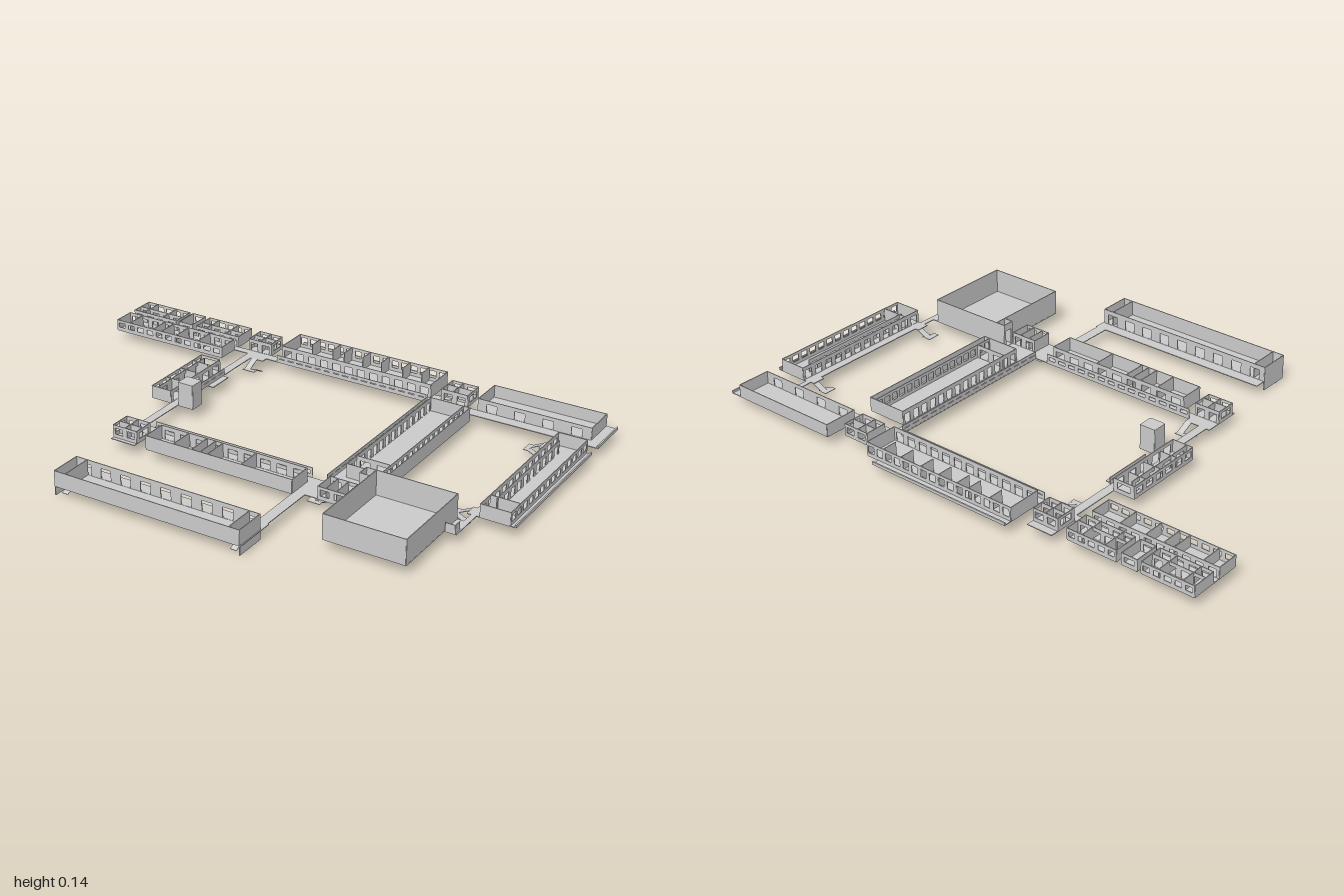
import * as THREE from 'three';

const T = 0.003;      // wall thickness
const Y = 0.048;      // floor level
const grey = new THREE.MeshStandardMaterial({ color: 0xcccccc, flatShading: true, side: THREE.DoubleSide });

export function createModel() {
  const root = new THREE.Group();
  let part = root;

  const section = (name) => {
    part = new THREE.Group();
    part.name = name;
    root.add(part);
  };
  const box = (name, x0, x1, y0, y1, z0, z1) => {
    const m = new THREE.Mesh(new THREE.BoxGeometry(x1 - x0, y1 - y0, z1 - z0), grey);
    m.position.set((x0 + x1) / 2, (y0 + y1) / 2, (z0 + z1) / 2);
    m.name = name;
    part.add(m);
  };
  const floor = (x0, x1, z0, z1) => box('floor', x0, x1, Y - T, Y, z0, z1);

  // Straight wall between two plan points, with evenly spaced window or door openings
  const wall = (x0, z0, x1, z1, top = 0.1, openings = 0, door = false, bottom = Y) => {
    const len = Math.hypot(x1 - x0, z1 - z0);
    const s = new THREE.Shape([[0, bottom], [len, bottom], [len, top], [0, top]].map(p => new THREE.Vector2(...p)));
    const pitch = len / (openings || 1);
    const w = door ? Math.min(0.02, pitch * 0.3) : pitch * 0.32;
    const lo = bottom + (door ? 0.001 : 0.013), hi = door ? bottom + (top - bottom) * 0.7 : top - 0.011;
    for (let i = 0; i < openings; i++) {
      const c = (i + 0.5) * pitch;
      s.holes.push(new THREE.Path([[c - w, lo], [c - w, hi], [c + w, hi], [c + w, lo]].map(p => new THREE.Vector2(...p))));
    }
    const g = new THREE.ExtrudeGeometry(s, { depth: T, bevelEnabled: false });
    g.translate(0, 0, -T / 2);
    const m = new THREE.Mesh(g, grey);
    m.position.set(x0, 0, z0);
    m.rotation.y = -Math.atan2(z1 - z0, x1 - x0);
    m.name = openings ? (door ? 'doorWall' : 'windowWall') : 'wall';
    part.add(m);
  };
  // Four walls; openings listed as back, front, right (-x), left (+x)
  const room = (x0, x1, z0, z1, top = 0.1, n = [0, 0, 0, 0], doors = [0, 0, 0, 0]) => {
    wall(x0, z0, x1, z0, top, n[0], !!doors[0]);
    wall(x0, z1, x1, z1, top, n[1], !!doors[1]);
    wall(x0, z0, x0, z1, top, n[2], !!doors[2]);
    wall(x1, z0, x1, z1, top, n[3], !!doors[3]);
  };
  const crossWalls = (xs, z0, z1, top) => xs.forEach(x => wall(x, z0, x, z1, top));

  // Switchback stair: two sloping flights and a half landing below the floor
  const stair = (x, z, turn = 0) => {
    const g = new THREE.Group();
    g.name = 'stair';
    [[0.013, 0.025, 0.047], [-0.013, 0.025, 0.005]].forEach(([fx, ya, yb]) => {
      const rise = yb - ya, run = 0.045;
      const m = new THREE.Mesh(new THREE.BoxGeometry(0.024, 0.002, Math.hypot(rise, run)), grey);
      m.position.set(fx, (ya + yb) / 2, 0.008);
      m.rotation.x = -Math.atan2(rise, run);
      m.name = 'flight';
      g.add(m);
    });
    const l = new THREE.Mesh(new THREE.BoxGeometry(0.05, 0.002, 0.018), grey);
    l.position.set(0, 0.025, -0.023);
    l.name = 'landing';
    g.add(l);
    g.position.set(x, 0, z);
    g.rotation.y = turn;
    part.add(g);
  };

  section('northWestWing');
  floor(-1, -0.36, -0.55, -0.52);
  floor(-1, -0.51, -0.52, -0.435);
  room(-1, -0.51, -0.52, -0.435, 0.09, [10, 11, 0, 0], [1, 0, 0, 0]);
  crossWalls([-0.94, -0.83, -0.79, -0.72, -0.62], -0.52, -0.435, 0.09);
  for (const [a, b] of [[-1, -0.8], [-0.705, -0.51]]) {
    floor(a, b, -0.645, -0.55);
    room(a, b, -0.645, -0.55, 0.09, [5, 4, 0, 0], [0, 1, 0, 0]);
    crossWalls([a + 0.045, a + 0.135], -0.645, -0.55, 0.09);
    wall(a, -0.59, b, -0.59, 0.09, 4, true);
  }
  floor(-0.785, -0.725, -0.645, -0.55);
  room(-0.785, -0.725, -0.645, -0.55, 0.09, [1, 1, 0, 0], [0, 1, 0, 0]);

  section('northWestNode');
  floor(-0.46, -0.36, -0.66, -0.55);
  room(-0.46, -0.36, -0.63, -0.55, 0.095, [2, 2, 1, 1], [0, 1, 0, 0]);
  wall(-0.41, -0.63, -0.41, -0.55, 0.095);
  wall(-0.46, -0.59, -0.36, -0.59, 0.095, 2, true);
  floor(-0.415, -0.36, -0.52, -0.49);
  stair(-0.385, -0.46, Math.PI);

  section('westConnector');
  floor(-0.447, -0.415, -0.52, 0.2);
  floor(-0.415, -0.39, -0.3, -0.2);
  wall(-0.415, -0.31, -0.415, -0.12, 0.075, 4);
  floor(-0.53, -0.447, -0.33, -0.013);
  room(-0.53, -0.447, -0.33, -0.013, 0.095, [1, 0, 6, 5], [0, 0, 0, 1]);
  wall(-0.505, -0.31, -0.505, -0.013, 0.095, 4, true);
  for (const z of [-0.27, -0.19, -0.1]) wall(-0.53, z, -0.46, z, 0.095);

  section('tower');
  floor(-0.415, -0.35, -0.065, -0.01);
  room(-0.41, -0.35, -0.065, -0.01, 0.14);
  box('towerRoof', -0.41, -0.35, 0.137, 0.14, -0.065, -0.01);

  section('southWestNode');
  floor(-0.46, -0.36, 0.18, 0.33);
  room(-0.46, -0.36, 0.235, 0.315, 0.095, [2, 2, 1, 1], [1, 0, 0, 0]);
  wall(-0.41, 0.235, -0.41, 0.315, 0.095);
  wall(-0.46, 0.28, -0.36, 0.28, 0.095);
  stair(-0.385, 0.15, 0);

  section('northBuilding');
  floor(-0.36, 0.35, -0.55, -0.515);
  floor(-0.31, 0.325, -0.68, -0.55);
  floor(-0.31, 0.275, -0.71, -0.68);
  box('ledge', -0.31, 0.275, Y, 0.056, -0.71, -0.705);
  room(-0.31, 0.325, -0.68, -0.55, 0.1, [16, 12, 0, 0], [0, 1, 0, 0]);
  wall(-0.31, -0.515, 0.325, -0.515, 0.075, 16);
  crossWalls([-0.22, -0.13, -0.08, 0.0, 0.08, 0.17, 0.25], -0.68, -0.62, 0.1);

  section('southBuilding');
  floor(-0.36, 0.52, 0.2, 0.235);
  floor(-0.31, 0.28, 0.235, 0.33);
  room(-0.31, 0.28, 0.235, 0.33, 0.1, [9, 0, 0, 0], [1, 0, 0, 0]);
  wall(-0.36, 0.2, 0.28, 0.2, 0.085, 14);
  crossWalls([-0.195, -0.12, -0.085, -0.055, 0.08], 0.235, 0.33, 0.1);

  section('frontBuilding');
  floor(0.28, 0.32, 0.235, 0.54);
  floor(-0.41, 0.325, 0.54, 0.705);
  room(-0.41, 0.32, 0.585, 0.705, 0.105, [9, 0, 0, 0], [1, 0, 0, 0]);
  for (const x of [-0.41, 0.32]) wall(x, 0.585, x, 0.705, Y, 0, false, 0.012);
  crossWalls([-0.365, 0.28], 0.585, 0.705, 0.105);
  stair(-0.385, 0.64);
  stair(0.29, 0.645);

  section('centralHall');
  floor(0.335, 0.37, -0.515, 0.2);
  floor(0.37, 0.53, -0.457, 0.137);
  floor(0.37, 0.475, 0.137, 0.2);
  room(0.375, 0.53, -0.457, 0.137, 0.1, [0, 0, 14, 0], [0, 0, 1, 0]);
  wall(0.505, -0.457, 0.505, 0.137, 0.1, 16);
  wall(0.375, 0.07, 0.505, 0.07, 0.1, 2, true);
  wall(0.337, -0.5, 0.337, 0.2, 0.075, 16);

  section('northEastNode');
  floor(0.325, 0.37, -0.58, -0.515);
  floor(0.42, 0.475, -0.58, -0.55);
  room(0.37, 0.475, -0.635, -0.55, 0.095, [2, 2, 0, 1], [0, 1, 0, 0]);
  crossWalls([0.415], -0.635, -0.55, 0.095);
  wall(0.37, -0.595, 0.475, -0.595, 0.095);
  stair(0.35, -0.595, 0);

  section('southEastNode');
  floor(0.32, 0.475, 0.235, 0.315);
  room(0.37, 0.475, 0.235, 0.315, 0.095, [2, 2, 0, 0], [1, 0, 0, 0]);
  crossWalls([0.4, 0.44], 0.235, 0.315, 0.095);
  stair(0.35, 0.28, Math.PI);

  section('largeHall');
  floor(0.515, 0.817, 0.19, 0.53);
  room(0.517, 0.815, 0.19, 0.53, 0.14);
  wall(0.48, 0.19, 0.517, 0.19, 0.14);
  wall(0.48, 0.235, 0.517, 0.235, 0.14);
  wall(0.48, 0.19, 0.48, 0.235, 0.14, 1, true);

  section('northEastBuilding');
  floor(0.325, 1, -0.55, -0.505);
  floor(0.517, 1, -0.68, -0.55);
  room(0.517, 0.955, -0.68, -0.55, 0.095, [0, 4, 0, 0], [0, 1, 0, 0]);
  box('ledge', 0.995, 1, Y, 0.056, -0.68, -0.505);

  section('eastBuilding');
  floor(0.84, 0.86, -0.505, 0.28);
  floor(0.815, 0.855, 0.19, 0.28);
  wall(0.855, 0.25, 0.855, 0.28, 0.08);
  wall(0.82, 0.28, 0.855, 0.28, 0.08);
  floor(0.85, 1, -0.455, 0.14);
  room(0.872, 0.98, -0.455, 0.14, 0.097, [0, 0, 12, 14], [0, 0, 1, 0]);
  wall(0.9, -0.4, 0.9, 0.08, 0.097, 10, true);
  wall(0.872, 0.07, 0.98, 0.07, 0.097);
  box('ledge', 0.995, 1, Y, 0.056, -0.455, 0.14);
  for (const z of [-0.425, 0.115]) {
    stair(0.8, z, Math.PI / 2);
    floor(0.825, 0.85, z - 0.025, z + 0.025);
  }

  return root;
}
